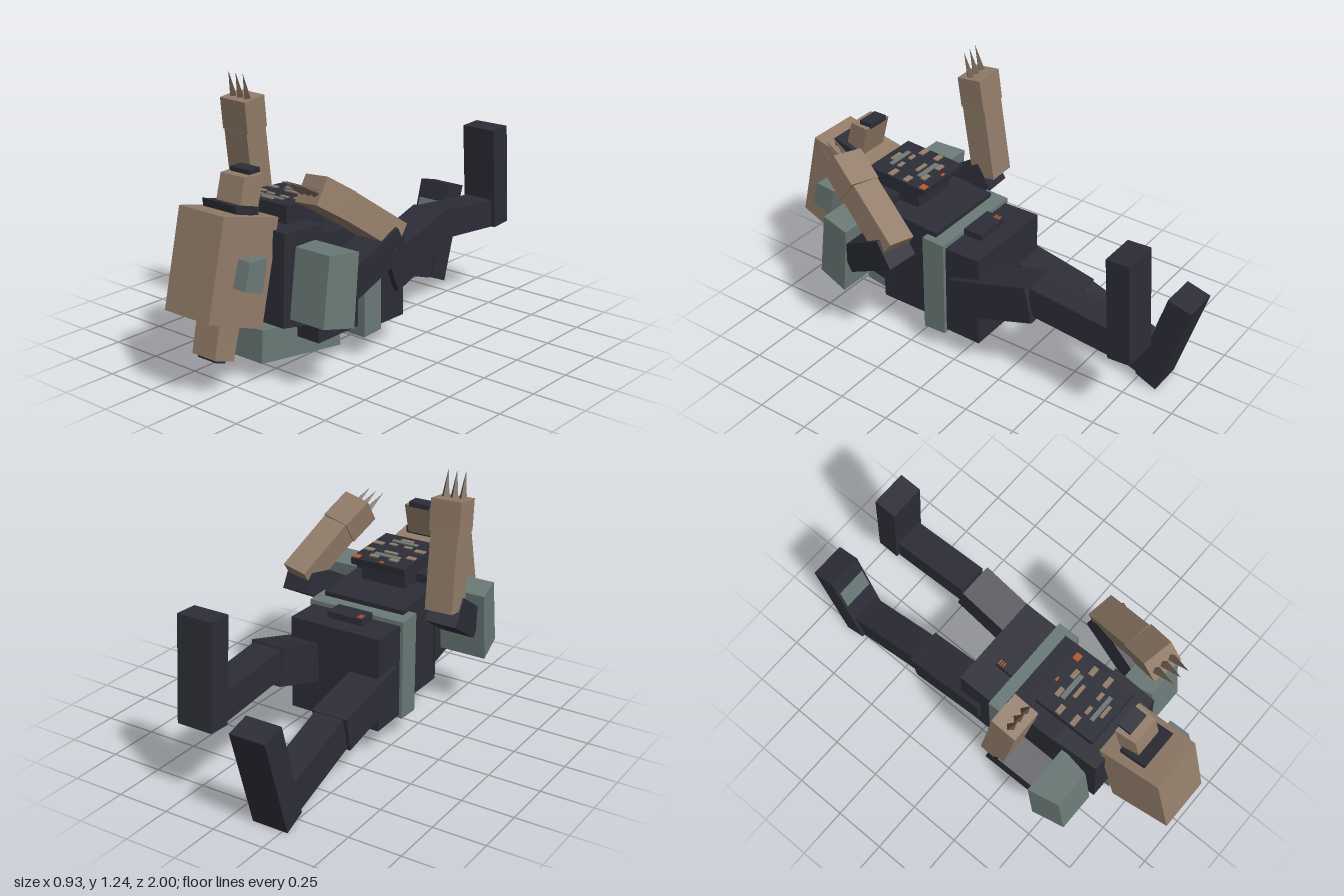
import * as THREE from 'three';

const V = (x, y, z) => new THREE.Vector3(x, y, z);

export function createModel() {
  const model = new THREE.Group();
  model.name = 'lyingFigure';
  const mat = (name, color) => {
    const m = new THREE.MeshStandardMaterial({ color });
    m.name = name;
    return m;
  };
  const dark = mat('darkCloth', 0x2d2d38);
  const brown = mat('brownFur', 0x927c69);
  const gray = mat('grayArmour', 0x6b7a77);
  const orange = mat('orangeMark', 0xb85a2c);
  const black = mat('clawBrown', 0x6a594b);

  const add = (name, geo, material) => {
    const m = new THREE.Mesh(geo, material);
    m.name = name;
    model.add(m);
    return m;
  };

  // Block from a side outline [frontTop, backTop, backBottom, frontBottom] as [z, y],
  // spanning x0..x1; "inset" narrows the front (+z) end
  const block = (name, material, x0, x1, quad, inset = 0) => {
    const g = new THREE.BoxGeometry(2, 2, 2);
    const p = g.attributes.position;
    for (let i = 0; i < p.count; i++) {
      const front = p.getZ(i) > 0, top = p.getY(i) > 0, right = p.getX(i) > 0;
      const [z, y] = quad[top ? (front ? 0 : 1) : (front ? 3 : 2)];
      const n = front ? inset : 0;
      p.setXYZ(i, right ? x1 - n : x0 + n, y, z);
    }
    g.computeVertexNormals();
    return add(name, g, material);
  };

  // Matrix whose y axis runs from a to b and whose x axis stays near world x
  const frame = (a, b) => {
    const d = b.clone().sub(a).normalize();
    const x = V(1, 0, 0).addScaledVector(d, -d.x).normalize();
    const z = x.clone().cross(d);
    return new THREE.Matrix4().makeBasis(x, d, z).setPosition(a.clone().lerp(b, 0.5));
  };
  const limb = (name, material, a, b, w, d) =>
    add(name, new THREE.BoxGeometry(w, a.distanceTo(b), d).applyMatrix4(frame(a, b)), material);

  // Head, muzzle, topknot and ear guard
  block('head', brown, -0.157, 0.122, [[0.9, 0.81], [0.6, 0.74], [0.71, 0.28], [1.0, 0.385]], 0.012);
  block('muzzleBase', dark, -0.11, 0.08, [[0.805, 0.825], [0.67, 0.79], [0.675, 0.755], [0.8, 0.79]]);
  block('muzzle', brown, -0.095, 0.062, [[0.72, 0.92], [0.62, 0.92], [0.66, 0.77], [0.755, 0.79]], 0.01);
  block('nose', dark, -0.07, 0.037, [[0.68, 0.94], [0.615, 0.94], [0.615, 0.915], [0.68, 0.915]]);
  block('topknot', brown, -0.095, 0.062, [[0.88, 0.345], [0.775, 0.315], [0.82, 0.155], [0.915, 0.185]], 0.012);
  block('topknotTip', dark, -0.07, 0.037, [[0.9, 0.185], [0.84, 0.165], [0.845, 0.148], [0.895, 0.165]]);
  block('earGuard', gray, 0.12, 0.185, [[0.835, 0.62], [0.735, 0.61], [0.77, 0.47], [0.87, 0.505]]);

  // Torso
  block('chest', dark, -0.232, 0.198, [[0.635, 0.69], [0.41, 0.68], [0.42, 0.24], [0.65, 0.28]], 0.012);
  block('waist', dark, -0.225, 0.195, [[0.45, 0.64], [0.13, 0.615], [0.17, 0.15], [0.44, 0.15]]);
  block('belt', gray, -0.265, 0.232, [[0.18, 0.595], [0.065, 0.59], [0.065, 0.11], [0.18, 0.105]]);
  block('hips', dark, -0.25, 0.215, [[0.08, 0.57], [-0.115, 0.572], [-0.115, 0.122], [0.08, 0.125]]);
  block('backPack', gray, -0.112, 0.08, [[0.65, 0.24], [0.18, 0.18], [0.165, 0.025], [0.655, 0.09]], 0.015);
  block('buckle', dark, -0.105, 0.075, [[0.065, 0.602], [-0.03, 0.602], [-0.03, 0.57], [0.065, 0.57]]);
  for (let i = 0; i < 3; i++) {
    const z = 0.01 - i * 0.012;
    block('buckleMark', orange, -0.098, -0.075, [[z, 0.606], [z - 0.006, 0.606], [z - 0.006, 0.601], [z, 0.601]]);
  }

  // Chest panel with painted bands
  block('chestPanel', dark, -0.16, 0.127, [[0.56, 0.78], [0.245, 0.76], [0.25, 0.725], [0.56, 0.74]]);
  block('panelMount', dark, -0.13, 0.1, [[0.53, 0.745], [0.3, 0.735], [0.3, 0.64], [0.53, 0.64]]);
  const patch = (material, x0, x1, z0, z1) => {
    const h = (z) => 0.7445 + z * 0.0635;
    block('panelPatch', material, x0, x1,
      [[z1, h(z1) + 0.005], [z0, h(z0) + 0.005], [z0, h(z0) - 0.002], [z1, h(z1) - 0.002]]);
  };
  patch(orange, 0.088, 0.122, 0.25, 0.28);
  patch(orange, -0.04, -0.02, 0.255, 0.265);
  patch(gray, -0.085, 0.05, 0.322, 0.345);
  patch(gray, -0.085, 0.05, 0.485, 0.505);
  for (const s of [-1, 1]) {
    const c = -0.0165;
    const side = (x0, x1, z0, z1) => {
      const a = c + s * x0, b = c + s * x1;
      patch(brown, Math.min(a, b), Math.max(a, b), z0, z1);
    };
    side(0.03, 0.075, 0.295, 0.318);
    side(0.09, 0.135, 0.348, 0.374);
    side(0.085, 0.138, 0.43, 0.455);
    side(0.02, 0.06, 0.448, 0.466);
  }
  patch(brown, -0.05, 0.02, 0.362, 0.38);
  patch(brown, -0.05, 0.015, 0.51, 0.527);

  // Shoulder pads
  const pad = [[0.605, 0.635], [0.455, 0.62], [0.485, 0.295], [0.645, 0.33]];
  block('leftShoulderPad', gray, 0.192, 0.43, pad, 0.028);
  block('rightShoulderPad', gray, -0.462, -0.222, pad, 0.028);

  // Arms: dark upper arm, furred forearm, hand and three claws
  const arm = (side, shoulder, elbow, wrist, end, tip) => {
    limb(side + 'UpperArm', dark, shoulder, elbow, 0.15, 0.14);
    limb(side + 'Forearm', brown, elbow, wrist, 0.136, 0.122);
    limb(side + 'Hand', brown, wrist, end, 0.15, 0.124);
    const m = frame(end, tip);
    const len = end.distanceTo(tip);
    for (const k of [-1, 0, 1]) {
      const g = new THREE.ConeGeometry(0.019, len, 4).toNonIndexed();
      g.computeVertexNormals();
      g.translate(k * 0.043, 0, 0.012).applyMatrix4(m);
      add(side + 'Claw', g, black);
    }
  };
  arm('right', V(-0.345, 0.47, 0.48), V(-0.378, 0.62, 0.235), V(-0.37, 0.98, 0.285),
    V(-0.366, 1.125, 0.303), V(-0.36, 1.243, 0.335));
  arm('left', V(0.34, 0.47, 0.47), V(0.392, 0.62, 0.2), V(0.325, 0.8, 0.45),
    V(0.285, 0.885, 0.58), V(0.262, 0.945, 0.685));

  // Left leg
  block('leftThigh', dark, 0.07, 0.243,
    [[0.03, 0.43], [-0.375, 0.555], [-0.415, 0.385], [-0.045, 0.26]]);
  block('leftShin', dark, 0.08, 0.225,
    [[-0.39, 0.55], [-0.79, 0.51], [-0.79, 0.375], [-0.39, 0.412]]);
  block('leftFoot', dark, 0.065, 0.24,
    [[-0.762, 0.86], [-0.873, 0.865], [-0.905, 0.38], [-0.797, 0.373]]);

  // Right leg
  block('rightThigh', dark, -0.275, -0.098,
    [[0.0, 0.405], [-0.415, 0.32], [-0.385, 0.16], [0.0, 0.245]]);
  block('rightShin', dark, -0.26, -0.115,
    [[-0.42, 0.32], [-0.8, 0.19], [-0.755, 0.04], [-0.38, 0.17]]);
  block('rightFoot', dark, -0.275, -0.1,
    [[-0.885, 0.505], [-1.0, 0.475], [-0.86, 0.0], [-0.755, 0.045]]);
  block('rightFootPlate', gray, -0.262, -0.11,
    [[-0.855, 0.415], [-0.864, 0.415], [-0.834, 0.31], [-0.825, 0.31]]);

  return model;
}
